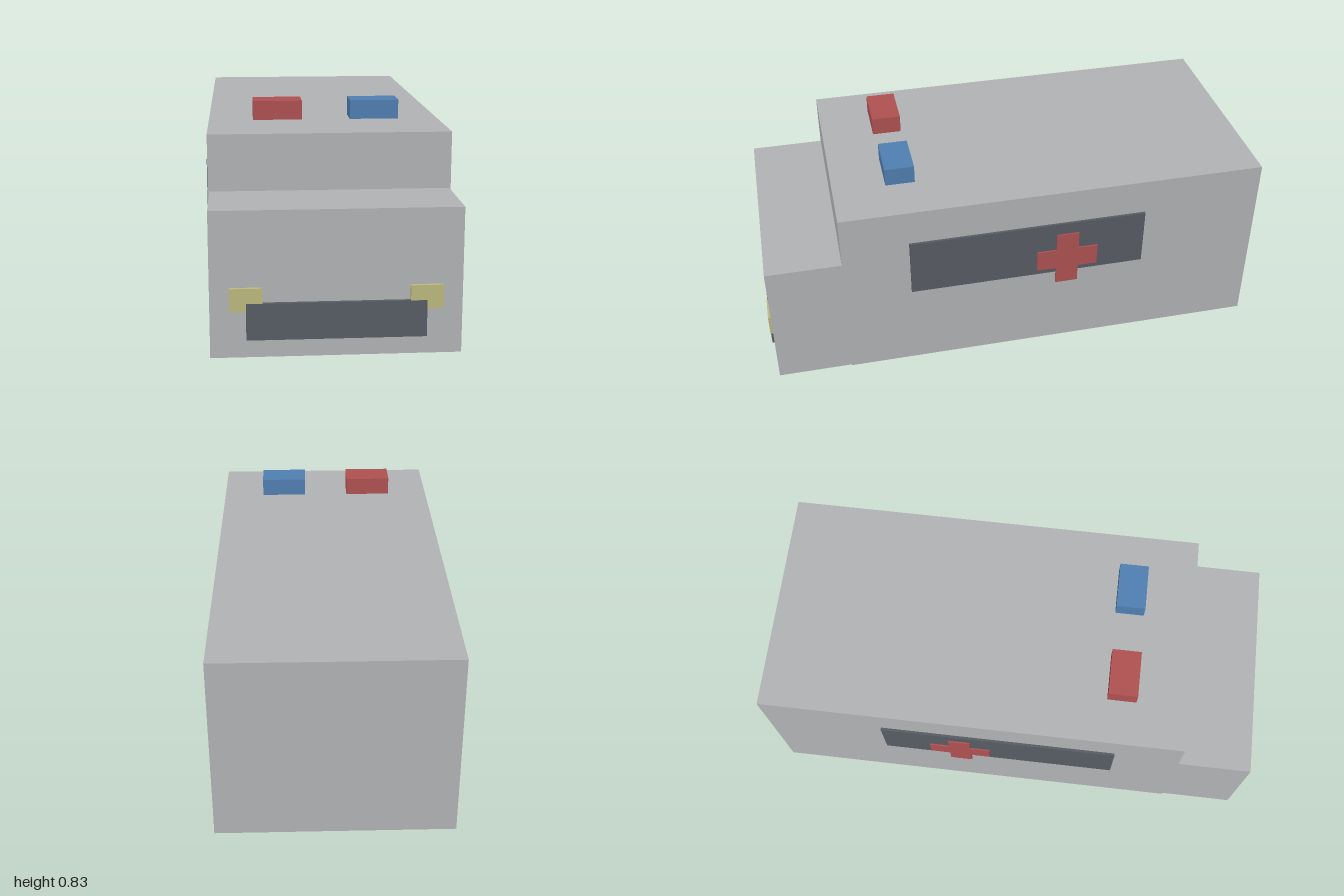
import * as THREE from 'three';

const mat = (name, color) => {
  const m = new THREE.MeshStandardMaterial({ color });
  m.name = name;
  return m;
};

export function createModel() {
  const group = new THREE.Group();
  const grey = mat('bodyGrey', 0xb2b4b6);
  const dark = mat('darkGlass', 0x585e65);
  const red = mat('red', 0xb05252);
  const blue = mat('blue', 0x5080b2);
  const yellow = mat('lampYellow', 0xbdba80);

  // Box given by its minimum and maximum corners
  const box = (name, material, [x0, y0, z0], [x1, y1, z1]) => {
    const mesh = new THREE.Mesh(new THREE.BoxGeometry(x1 - x0, y1 - y0, z1 - z0), material);
    mesh.position.set((x0 + x1) / 2, (y0 + y1) / 2, (z0 + z1) / 2);
    mesh.name = name;
    group.add(mesh);
  };

  // Main body and lower hood
  box('rearBody', grey, [-0.449, 0, -1], [0.449, 0.742, 0.69]);
  box('hood', grey, [-0.444, 0, 0.69], [0.444, 0.53, 0.985]);

  // Grille, with headlights tucked just behind its face
  box('grille', dark, [-0.317, 0.067, 0.985], [0.317, 0.2, 1]);
  box('rightHeadlight', yellow, [-0.375, 0.171, 0.985], [-0.259, 0.255, 0.999]);
  box('leftHeadlight', yellow, [0.259, 0.171, 0.985], [0.375, 0.255, 0.999]);

  // Roof beacons, hovering just above the roof
  box('rightBeacon', red, [-0.278, 0.76, 0.37], [-0.092, 0.832, 0.485]);
  box('leftBeacon', blue, [0.092, 0.76, 0.37], [0.278, 0.832, 0.485]);

  // Cross outline, extruded outward on each side
  const w = 0.045, t = 0.045, a = 0.124, h = 0.12;
  const cross = new THREE.Shape([
    [-w, -h], [w, -h], [w, -t], [a, -t], [a, t], [w, t],
    [w, h], [-w, h], [-w, t], [-a, t], [-a, -t], [-w, -t],
  ].map(([x, y]) => new THREE.Vector2(x, y)));
  const crossGeometry = new THREE.ExtrudeGeometry(cross, { depth: 0.009, bevelEnabled: false });

  // Side windows and crosses
  for (const s of [-1, 1]) {
    const side = s > 0 ? 'left' : 'right';
    const xs = [s * 0.449, s * 0.459].sort((p, q) => p - q);
    box(side + 'Window', dark, [xs[0], 0.359, -0.522], [xs[1], 0.597, 0.427]);
    const mesh = new THREE.Mesh(crossGeometry, red);
    mesh.name = side + 'Cross';
    mesh.rotation.y = s * Math.PI / 2;
    mesh.position.set(s * 0.456, 0.427, -0.205);
    group.add(mesh);
  }
  return group;
}
